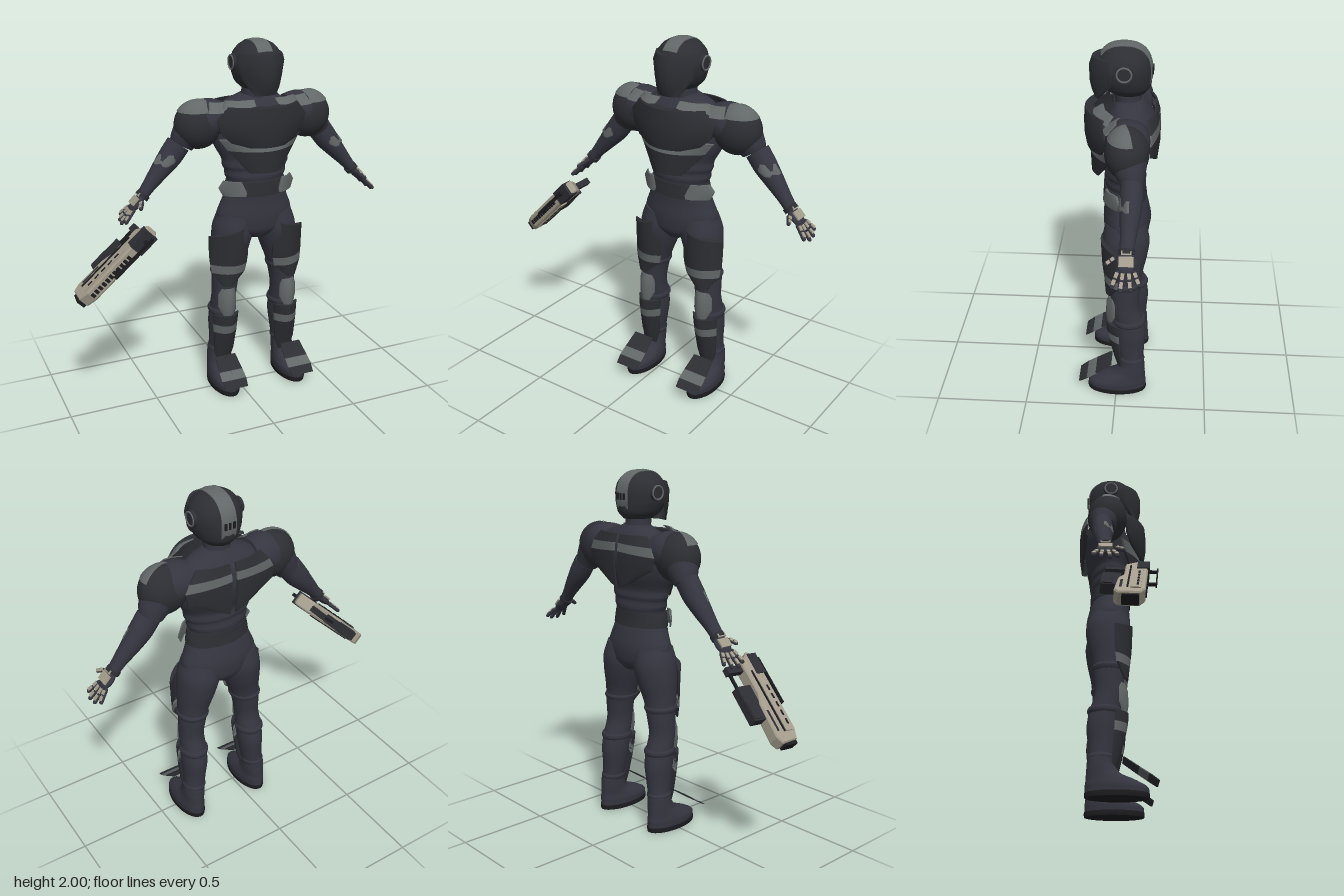
import * as THREE from 'three';
import { toCreasedNormals } from 'three/addons/utils/BufferGeometryUtils.js';

const mat = (name, color) => Object.assign(new THREE.MeshStandardMaterial({ color }), { name });
const SUIT = mat('suit', 0x34353f), ARMOR = mat('armor', 0x2d2e33), GREY = mat('greyTrim', 0x626768);
const BEIGE = mat('beigeMetal', 0xa39c8c), BLACK = mat('black', 0x1c1c20);

// Closed solid through a list of equal-length rings, wound outward
function loft(rings, crease = 0.7) {
  const n = rings[0].length, m = rings.length, pos = rings.flat(), tri = [];
  for (let j = 0; j < m - 1; j++) for (let i = 0; i < n; i++) {
    const a = j * n + i, b = j * n + (i + 1) % n;
    tri.push([a, b, b + n], [a, b + n, a + n]);
  }
  [0, m - 1].forEach((j) => {
    const c = pos.length, mid = new THREE.Vector3();
    rings[j].forEach((p) => mid.addScaledVector(p, 1 / n));
    pos.push(mid);
    for (let i = 0; i < n; i++) {
      const a = j * n + i, b = j * n + (i + 1) % n;
      tri.push(j ? [a, b, c] : [b, a, c]);
    }
  });
  const v = new THREE.Vector3(), o = pos[0];
  const rel = (i) => pos[i].clone().sub(o);
  const vol = tri.reduce((s, [a, b, c]) => s + rel(a).dot(v.crossVectors(rel(b), rel(c))), 0);
  const g = new THREE.BufferGeometry().setFromPoints(pos);
  g.setIndex(tri.flatMap(([a, b, c]) => (vol > 0 ? [a, b, c] : [a, c, b])));
  return toCreasedNormals(g, crease);
}

// Smooth limb: points are [x, y, z, radius across, radius in z]
function limb(pts, n = 28, sub = 4) {
  const path = new THREE.CatmullRomCurve3(pts.map((p) => new THREE.Vector3(p[0], p[1], p[2])));
  const size = new THREE.CatmullRomCurve3(pts.map((p) => new THREE.Vector3(p[3], p[4], 0)));
  const steps = (pts.length - 1) * sub, rings = [];
  for (let j = 0; j <= steps; j++) {
    const c = path.getPoint(j / steps), r = size.getPoint(j / steps), t = path.getTangent(j / steps);
    const u = new THREE.Vector3(t.y, -t.x, 0).normalize();
    rings.push(Array.from({ length: n }, (_, i) => {
      const a = (i / n) * Math.PI * 2;
      const p = c.clone().addScaledVector(u, Math.cos(a) * r.x);
      p.z += Math.sin(a) * r.y;
      return p;
    }));
  }
  return loft(rings, 0.9);
}

// Curved armour plate: rows are [x1, y1, z1, x2, y2, z2, forward bulge]
function plate(rows, t = 0.009, n = 14) {
  return loft(rows.map(([x1, y1, z1, x2, y2, z2, b]) => {
    const front = Array.from({ length: n + 1 }, (_, i) => {
      const s = i / n;
      return new THREE.Vector3(x1 + (x2 - x1) * s, y1 + (y2 - y1) * s, z1 + (z2 - z1) * s + b * 4 * s * (1 - s));
    });
    return [...front, ...front.map((p) => p.clone().setZ(p.z - t)).reverse()];
  }));
}
const sym = (w, y, z, b) => [-w, y, z, w, y, z, b];

const box = (w, h, d, x, y, z) => new THREE.BoxGeometry(w, h, d).translate(x, y, z);

function mirrored(geo) {
  const g = geo.index ? geo.toNonIndexed() : geo.clone();
  g.scale(-1, 1, 1);
  for (const a of Object.values(g.attributes)) for (let i = 0; i < a.count; i += 3) for (let k = 0; k < a.itemSize; k++) {
    const q = a.getComponent(i + 1, k);
    a.setComponent(i + 1, k, a.getComponent(i + 2, k));
    a.setComponent(i + 2, k, q);
  }
  return g;
}

export function createModel() {
  const root = new THREE.Group(), body = new THREE.Group();
  root.name = 'armouredSoldier'; body.name = 'body';
  body.position.x = 0.12;
  root.add(body);
  const add = (name, geo, m, parent = body) => {
    const mesh = new THREE.Mesh(geo, m);
    mesh.name = name;
    parent.add(mesh);
  };
  const both = (name, geo, m) => {
    add(name + 'Left', geo, m);
    add(name + 'Right', mirrored(geo), m);
  };

  // Torso with ribbed waist, neck
  const ribs = [1.24, 1.27, 1.3, 1.33, 1.36].map((y, i) => [0, y, -0.035, 0.163 + i * 0.008 + (i % 2) * 0.006, 0.105 + (i % 2) * 0.005]);
  add('torso', limb([[0, 0.91, -0.045, 0.07, 0.09], [0, 0.96, -0.045, 0.19, 0.12], [0, 1.04, -0.045, 0.222, 0.125], [0, 1.12, -0.04, 0.195, 0.115],
    [0, 1.2, -0.03, 0.168, 0.105], ...ribs, [0, 1.44, -0.045, 0.235, 0.125], [0, 1.53, -0.055, 0.258, 0.135],
    [0, 1.62, -0.06, 0.235, 0.12], [0, 1.68, -0.06, 0.16, 0.085], [0, 1.71, -0.06, 0.08, 0.065]], 40), SUIT);
  add('neck', limb([[0, 1.66, -0.06, 0.09, 0.075], [0, 1.71, -0.05, 0.072, 0.068], [0, 1.79, -0.045, 0.07, 0.07]]), SUIT);
  add('belt', limb([[0, 1.16, -0.035, 0.185, 0.115], [0, 1.2, -0.033, 0.18, 0.112], [0, 1.24, -0.033, 0.17, 0.11]], 36), ARMOR);
  both('hipPlate', plate([[0.12, 1.25, 0.06, 0.2, 1.25, -0.0, 0.015], [0.095, 1.19, 0.075, 0.225, 1.21, -0.01, 0.015], [0.1, 1.17, 0.075, 0.205, 1.165, 0, 0.015]]), GREY);

  // Chest armour
  add('chestPlate', plate([sym(0.2, 1.67, 0.07, 0.1), sym(0.258, 1.6, 0.055, 0.12), sym(0.24, 1.53, 0.06, 0.113), sym(0.19, 1.48, 0.085, 0.08), sym(0.1, 1.455, 0.13, 0.03)], 0.012, 24), ARMOR);
  both('collarStrip', plate([[0.06, 1.7, 0.08, 0.2, 1.695, 0.02, 0.02], [0.065, 1.675, 0.12, 0.225, 1.655, 0.05, 0.025]]), GREY);
  add('chestBand', plate([sym(0.238, 1.49, 0.03, 0.1), sym(0.195, 1.43, 0.045, 0.1)], 0.01, 24), GREY);
  add('abdomenPlate', plate([sym(0.195, 1.43, 0.045, 0.1), sym(0.09, 1.31, 0.105, 0.035)], 0.01, 24), ARMOR);

  // Back armour, one plate per shoulder blade
  const blade = [[0.015, 1.67, -0.185, 0.19, 1.67, -0.15, -0.015], [0.015, 1.625, -0.2, 0.235, 1.615, -0.165, -0.012],
    [0.015, 1.58, -0.205, 0.26, 1.565, -0.165, -0.012], [0.015, 1.5, -0.205, 0.25, 1.5, -0.17, -0.01], [0.015, 1.38, -0.19, 0.1, 1.42, -0.185, -0.004]];
  both('backPlateTop', plate(blade.slice(0, 2)), ARMOR);
  both('backPlateBand', plate(blade.slice(1, 3)), GREY);
  both('backPlateLower', plate(blade.slice(2)), ARMOR);

  // Helmet, visor, crest and ear discs
  add('helmet', limb([[0, 1.745, -0.05, 0.075, 0.085], [0, 1.78, -0.04, 0.112, 0.122], [0, 1.83, -0.032, 0.132, 0.136], [0, 1.88, -0.03, 0.138, 0.138],
    [0, 1.93, -0.03, 0.127, 0.128], [0, 1.97, -0.03, 0.095, 0.099], [0, 1.99, -0.03, 0.058, 0.062], [0, 1.997, -0.03, 0.004, 0.004]], 36), ARMOR);
  add('visor', plate([sym(0.118, 1.935, 0.03, 0.1), sym(0.136, 1.89, 0.03, 0.115), sym(0.118, 1.81, 0.04, 0.105), sym(0.085, 1.76, 0.08, 0.055), sym(0.055, 1.725, 0.105, 0.015)], 0.01, 24), ARMOR);
  const crest = [];
  for (let i = 0; i <= 24; i++) {
    const a = 0.62 + (i / 24) * 3.0, c = Math.cos(a), s = Math.sin(a);
    const at = (x, k) => new THREE.Vector3(x, 1.86 + k * Math.sign(s) * Math.abs(s) ** 0.85, -0.03 + k * Math.sign(c) * Math.abs(c) ** 0.85);
    crest.push([at(-0.042, 0.137), at(0, 0.142), at(0.042, 0.137), at(0.042, 0.11), at(0, 0.11), at(-0.042, 0.11)]);
  }
  add('helmetCrest', loft(crest), GREY);
  for (const x of [-0.024, 0, 0.024]) add('rearVent', box(0.012, 0.035, 0.008, x, 1.865, -0.171), BLACK);
  both('earDisc', new THREE.CylinderGeometry(0.042, 0.046, 0.022, 24).rotateZ(-Math.PI / 2).translate(0.132, 1.885, -0.035), ARMOR);
  both('earRing', new THREE.TorusGeometry(0.036, 0.005, 8, 24).rotateY(Math.PI / 2).translate(0.143, 1.885, -0.035), GREY);

  // Shoulders and arms
  both('upperArm', limb([[0.18, 1.6, -0.06, 0.08, 0.1], [0.27, 1.59, -0.06, 0.11, 0.11], [0.34, 1.55, -0.065, 0.11, 0.1], [0.385, 1.5, -0.075, 0.085, 0.08], [0.412, 1.455, -0.085, 0.066, 0.062]]), SUIT);
  const dome = (r, ...arc) => new THREE.SphereGeometry(1, 28, 18, ...arc).scale(0.133 + r, 0.133 + r, 0.11 + r).translate(0.322, 1.565, -0.06);
  both('shoulderPad', dome(0), ARMOR);
  both('shoulderCap', dome(0.004, 0.3, 3.2, 0, 0.98), GREY);
  both('shoulderInner', plate([[0.18, 1.68, -0.01, 0.28, 1.69, 0, 0.01], [0.19, 1.64, 0.055, 0.3, 1.64, 0.045, 0.01]]), GREY);
  both('forearm', limb([[0.425, 1.46, -0.09, 0.068, 0.055], [0.47, 1.4, -0.09, 0.066, 0.056], [0.53, 1.33, -0.088, 0.053, 0.05], [0.6, 1.25, -0.082, 0.037, 0.038], [0.645, 1.195, -0.078, 0.029, 0.036]]), SUIT);
  both('forearmPlate', plate([[0.455, 1.415, -0.038, 0.535, 1.42, -0.075, 0.016], [0.465, 1.375, -0.034, 0.57, 1.375, -0.075, 0.018], [0.5, 1.355, -0.035, 0.555, 1.36, -0.06, 0.01]]), GREY);

  // Hands: built along +x, then tilted down to the wrist
  const place = (g) => g.rotateZ(-0.8).translate(0.64, 1.2, -0.078);
  both('wristCuff', place(new THREE.CylinderGeometry(0.038, 0.038, 0.025, 16).rotateZ(Math.PI / 2).translate(-0.005, 0, 0)), ARMOR);
  both('palm', place(new THREE.SphereGeometry(1, 20, 12).scale(0.06, 0.022, 0.047).translate(0.045, 0, 0)), SUIT);
  both('handPlate', place(box(0.05, 0.009, 0.07, 0.045, 0.021, 0)), BEIGE);
  both('wristPlate', place(box(0.02, 0.009, 0.05, 0.004, 0.028, 0)), BEIGE);
  [[-0.036, 0.085, 0.38], [-0.013, 0.105, 0.12], [0.012, 0.11, -0.1], [0.035, 0.095, -0.32], [0.05, 0.065, -0.9]].forEach(([z, len, yaw], i) => {
    const root0 = i === 4 ? 0.02 : 0.08;
    const set = (g) => place(g.rotateY(yaw).translate(root0, 0, z));
    both('finger', set(new THREE.CapsuleGeometry(0.0105, len - 0.02, 4, 10).rotateZ(Math.PI / 2).translate(len / 2, 0, 0)), SUIT);
    for (const k of [0.3, 0.68]) both('fingerPlate', set(box(len * 0.28, 0.006, 0.017, len * k, 0.011, 0)), BEIGE);
  });

  // Legs with raised straps
  both('leg', limb([[0.115, 1.04, -0.045, 0.1, 0.11], [0.13, 0.95, -0.047, 0.115, 0.125], [0.147, 0.86, -0.045, 0.106, 0.115], [0.165, 0.76, -0.042, 0.088, 0.095],
    [0.178, 0.66, -0.045, 0.076, 0.083], [0.185, 0.56, -0.045, 0.069, 0.077], [0.187, 0.47, -0.065, 0.072, 0.082], [0.19, 0.39, -0.075, 0.073, 0.085],
    [0.195, 0.29, -0.078, 0.064, 0.076], [0.203, 0.2, -0.085, 0.058, 0.066], [0.208, 0.1, -0.085, 0.058, 0.07]]), SUIT);
  for (const [x, y, z, rx, rz] of [[0.172, 0.71, -0.043, 0.09, 0.096], [0.188, 0.465, -0.068, 0.081, 0.092], [0.202, 0.21, -0.084, 0.065, 0.073]])
    both('legStrap', limb([[x, y - 0.018, z, rx - 0.007, rz - 0.007], [x, y, z, rx, rz], [x, y + 0.018, z, rx - 0.007, rz - 0.007]]), SUIT);

  // Boots
  both('sole', limb([[0.21, 0, -0.003, 0.076, 0.163], [0.21, 0.014, -0.003, 0.078, 0.166], [0.21, 0.028, -0.003, 0.077, 0.165]]), BLACK);
  both('boot', limb([[0.21, 0.024, -0.003, 0.075, 0.163], [0.21, 0.055, -0.004, 0.077, 0.162], [0.21, 0.09, -0.03, 0.071, 0.132],
    [0.209, 0.125, -0.07, 0.064, 0.09], [0.207, 0.17, -0.085, 0.062, 0.072], [0.205, 0.215, -0.085, 0.06, 0.069]]), SUIT);

  // Banded leg armour: the given row span of each plate is grey
  const banded = (name, rows, k) => {
    both(name + 'Upper', plate(rows.slice(0, k + 1)), ARMOR);
    both(name + 'Band', plate(rows.slice(k, k + 2)), GREY);
    both(name + 'Lower', plate(rows.slice(k + 1)), ARMOR);
  };
  banded('thighPlate', [[0.088, 0.99, 0.06, 0.287, 0.935, -0.01, 0.055], [0.077, 0.82, 0.05, 0.284, 0.82, -0.01, 0.055], [0.082, 0.77, 0.045, 0.28, 0.77, -0.005, 0.05],
    [0.092, 0.72, 0.04, 0.274, 0.72, 0, 0.045], [0.17, 0.645, 0.055, 0.225, 0.645, 0.04, 0.01]], 2);
  both('kneePlate', plate([[0.15, 0.62, 0.03, 0.225, 0.62, 0.025, 0.015], [0.14, 0.585, 0.025, 0.24, 0.585, 0.015, 0.035], [0.137, 0.51, 0.025, 0.243, 0.51, 0.015, 0.04], [0.16, 0.46, 0.04, 0.22, 0.46, 0.035, 0.015]]), GREY);
  banded('shinPlate', [[0.112, 0.455, 0, 0.265, 0.455, -0.005, 0.062], [0.118, 0.395, -0.002, 0.263, 0.395, -0.007, 0.06], [0.122, 0.345, -0.005, 0.262, 0.345, -0.01, 0.053],
    [0.135, 0.22, -0.02, 0.255, 0.22, -0.02, 0.035], [0.16, 0.14, -0.025, 0.235, 0.14, -0.025, 0.015]], 1);
  const flat = (inset, y, z) => [0.135 + inset, y, z, 0.282 - inset, y, z, 0];
  banded('footPlate', [flat(0.012, 0.2, 0.035), flat(0.003, 0.145, 0.115), flat(0, 0.112, 0.165), flat(0.008, 0.08, 0.21)], 1);

  // Rifle: x runs to the muzzle, y is thickness, z is height
  const gun = new THREE.Group();
  gun.name = 'rifle';
  const L = new THREE.Vector3(-0.72, -0.69, -0.09).normalize(), T = new THREE.Vector3(0.69, -0.72, 0).normalize();
  gun.quaternion.setFromRotationMatrix(new THREE.Matrix4().makeBasis(L, T, L.clone().cross(T)));
  gun.position.set(-0.718, 0.893, 0.047);
  root.add(gun);
  const part = (name, w, h, d, x, y, z, m) => add(name, box(w, h, d, x, y, z), m, gun);
  const side = (pts, depth) => new THREE.ExtrudeGeometry(new THREE.Shape(pts.map((p) => new THREE.Vector2(...p))),
    { depth, bevelEnabled: true, bevelSize: 0.006, bevelThickness: 0.008, bevelSegments: 1 }).translate(0, 0, -depth / 2).rotateX(Math.PI / 2).scale(1, 1, 1);
  add('rifleBody', side([[-0.26, 0.03], [-0.24, 0.066], [0.2, 0.066], [0.255, 0.045], [0.262, -0.05], [0.23, -0.068], [0.04, -0.06], [-0.02, -0.035], [-0.2, -0.035]], 0.056), BEIGE, gun);
  part('rifleCasing', 0.3, 0.084, 0.05, 0.06, 0, 0.025, BEIGE);
  part('muzzle', 0.025, 0.05, 0.08, 0.268, 0, 0.005, BLACK);
  part('rearBlock', 0.12, 0.082, 0.06, -0.19, 0, 0.048, ARMOR);
  for (let i = 0; i < 11; i++) part('vent', 0.017, 0.026, 0.008, -0.08 + i * 0.027, 0, 0.074, BLACK);
  for (const s of [-1, 1]) {
    part('sideGroove', 0.36, 0.006, 0.008, 0.03, s * 0.042, -0.012, BLACK);
    for (let i = 0; i < 5; i++) part('sideSlot', 0.03, 0.006, 0.01, -0.04 + i * 0.05, s * 0.042, 0.034, BLACK);
    part('lowerSlot', 0.12, 0.006, 0.012, 0.14, s * 0.035, -0.045, ARMOR);
  }
  part('magazine', 0.2, 0.05, 0.09, 0.02, 0, -0.1, ARMOR);
  part('magazineCap', 0.1, 0.06, 0.05, 0.06, 0, -0.115, ARMOR);
  part('grip', 0.04, 0.035, 0.11, -0.185, 0, -0.085, ARMOR);
  part('triggerGuard', 0.1, 0.015, 0.012, -0.12, 0, -0.125, BLACK);
  part('topRail', 0.28, 0.02, 0.007, -0.1, 0, 0.118, BLACK);
  for (const x of [-0.2, 0.02]) part('railPost', 0.02, 0.014, 0.05, x, 0, 0.095, BLACK);
  return root;
}
